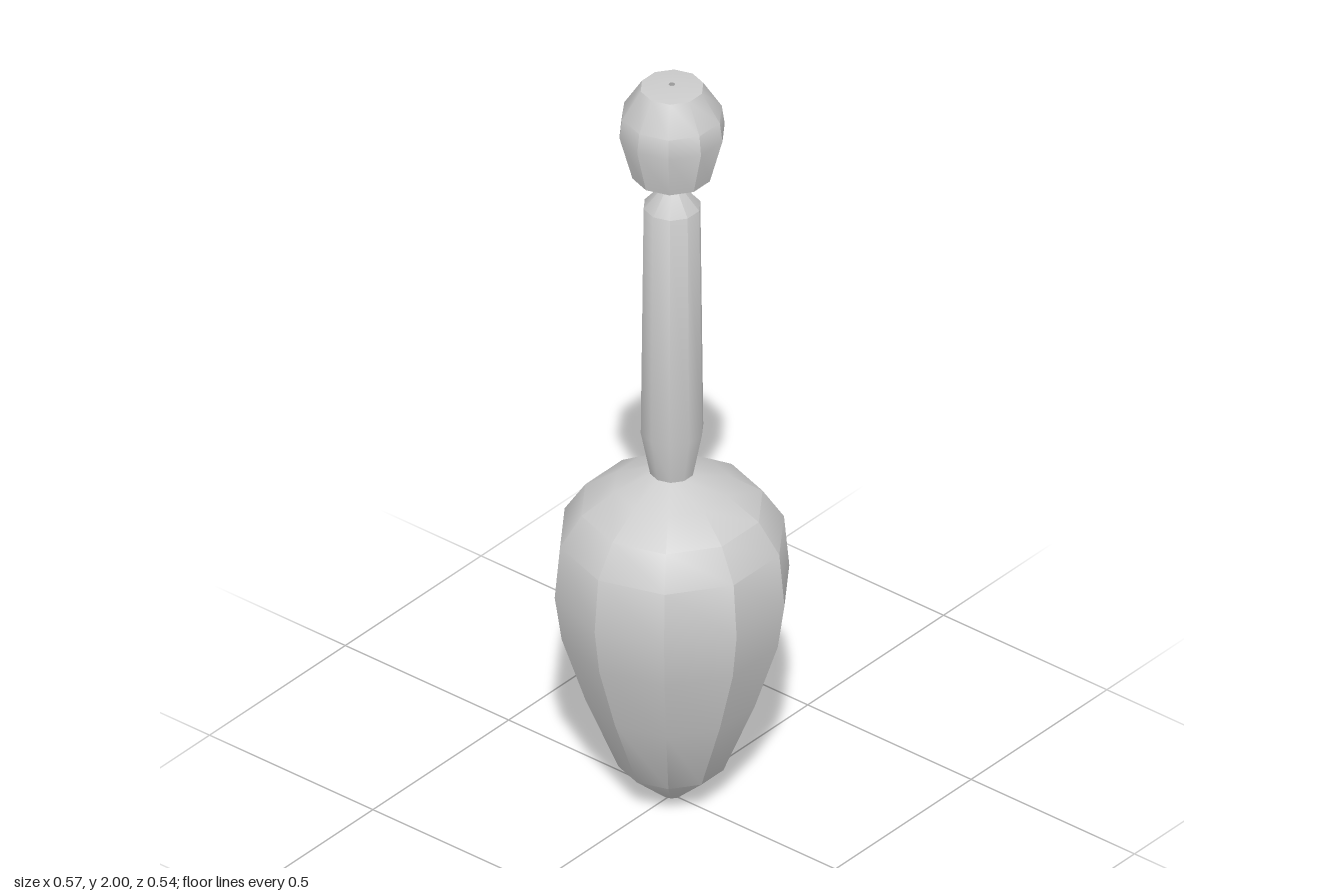
import * as THREE from 'three';
import { toCreasedNormals } from 'three/addons/utils/BufferGeometryUtils.js';

const SIDES = 10;

// Ten-sided turned part; profile runs from bottom to top as [radius, y]
function turned(name, profile, creaseDegrees) {
  const points = profile.map(([r, y]) => new THREE.Vector2(r, y));
  const lathe = new THREE.LatheGeometry(points, SIDES, Math.PI / 2);
  const geometry = toCreasedNormals(lathe, THREE.MathUtils.degToRad(creaseDegrees));
  const material = new THREE.MeshStandardMaterial({ color: 0xcccccc, side: THREE.DoubleSide });
  const mesh = new THREE.Mesh(geometry, material);
  mesh.name = name;
  return mesh;
}

export function createModel() {
  const model = new THREE.Group();
  model.name = 'turnedSpindle';

  // Bulb tapering to a small blunt tip with a pinhole along the axis
  model.add(turned('bulb', [
    [0.008, 0], [0.025, 0.005], [0.13, 0.1], [0.21, 0.3], [0.268, 0.48],
    [0.285, 0.6], [0.272, 0.74], [0.22, 0.82], [0.14, 0.875], [0.053, 0.912],
  ], 33));

  // Slim handle, pinched at both ends
  model.add(turned('stem', [
    [0.053, 0.912], [0.076, 1.03], [0.069, 1.66], [0.009, 1.73],
  ], 50));

  // Rounded knob with a flat, pierced top
  model.add(turned('knob', [
    [0.009, 1.73], [0.096, 1.75], [0.128, 1.87], [0.121, 1.92],
    [0.076, 1.992], [0.008, 2],
  ], 34));

  return model;
}
